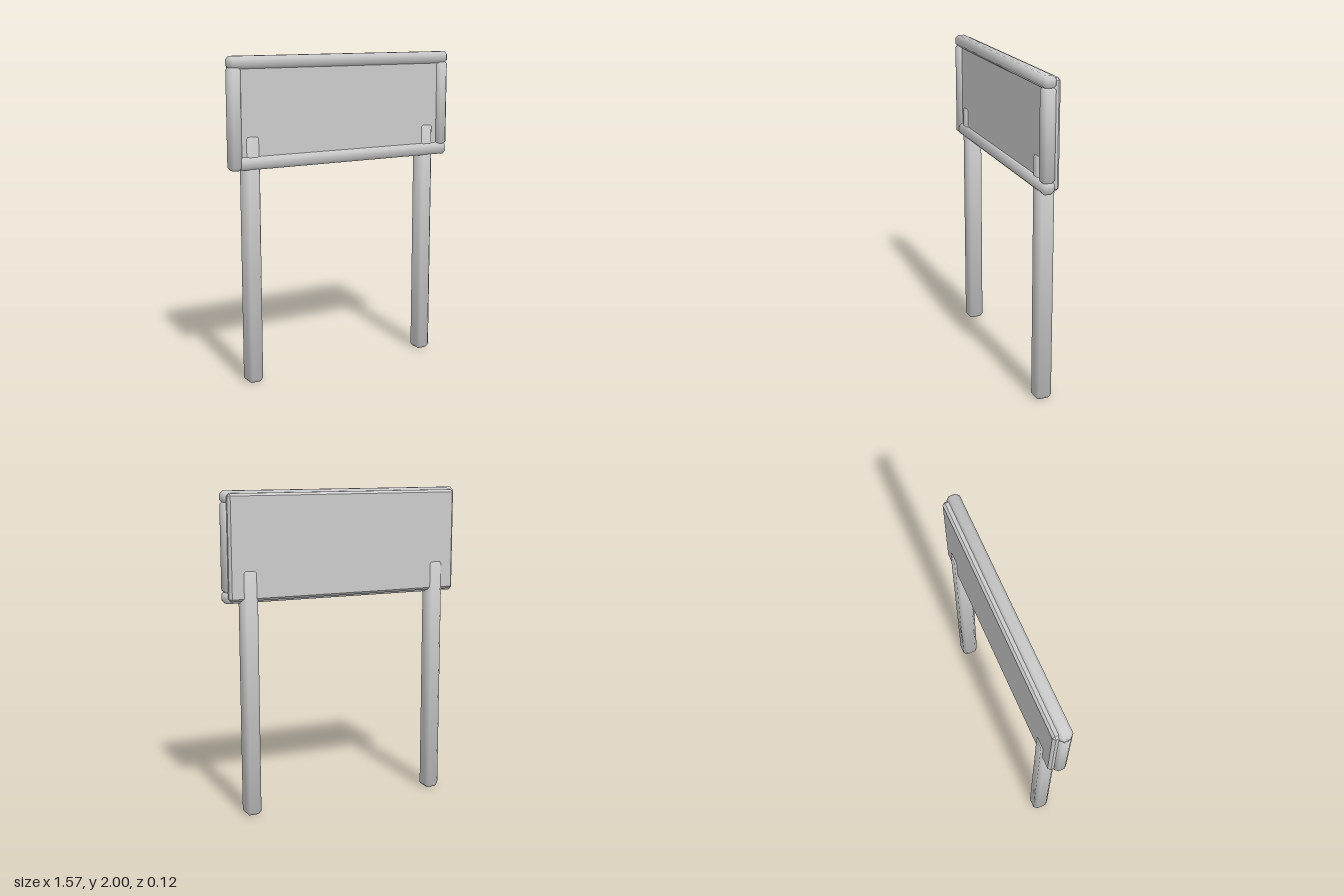
import * as THREE from 'three';
import { ConvexGeometry } from 'three/addons/geometries/ConvexGeometry.js';

// Box spanning [min, max] with chamfered edges; soft normals make it read as rounded
function chamferedBox(min, max, chamfer, soft) {
  const half = min.map((v, i) => (max[i] - v) / 2);
  const points = [];
  for (let axis = 0; axis < 3; axis++)
    for (const sx of [-1, 1]) for (const sy of [-1, 1]) for (const sz of [-1, 1]) {
      const p = [sx, sy, sz].map((s, i) => s * (half[i] - (i === axis ? 0 : chamfer)));
      points.push(new THREE.Vector3(...p));
    }
  const geometry = new ConvexGeometry(points);
  if (soft) {
    // Each corner leans outward from the face it belongs to
    const pos = geometry.attributes.position;
    const normal = geometry.attributes.normal;
    for (let i = 0; i < pos.count; i++) {
      const p = [pos.getX(i), pos.getY(i), pos.getZ(i)];
      const n = p.map((v, k) => Math.sign(v) * (Math.abs(v) > half[k] - chamfer / 2 ? 1 : 0.4));
      const v = new THREE.Vector3(...n).normalize();
      normal.setXYZ(i, v.x, v.y, v.z);
    }
  }
  geometry.translate(...min.map((v, i) => v + half[i]));
  return geometry;
}

export function createModel() {
  const group = new THREE.Group();
  const lightGrey = new THREE.MeshStandardMaterial({ color: 0xcccccc });
  lightGrey.name = 'lightGrey';

  const add = (name, min, max, chamfer, soft = true) => {
    const mesh = new THREE.Mesh(chamferedBox(min, max, chamfer, soft), lightGrey);
    mesh.name = name;
    group.add(mesh);
  };

  // Two posts, showing slightly through both faces of the panel
  for (const [name, x] of [['leftPost', 0.635], ['rightPost', -0.635]])
    add(name, [x - 0.05, 0, -0.062], [x + 0.05, 1.535, 0.043], 0.02);

  // Flat sign panel
  add('panel', [-0.765, 1.345, -0.052], [0.765, 1.985, 0.033], 0.015, false);

  // Raised frame: rails overlap at the corners
  const back = -0.02, front = 0.06;
  add('topRail', [-0.787, 1.925, back], [0.787, 2, front], 0.02);
  add('bottomRail', [-0.73, 1.33, back], [0.787, 1.407, front], 0.02);
  add('rightRail', [-0.787, 1.33, back], [-0.71, 1.94, front], 0.02);
  add('leftRail', [0.71, 1.39, back], [0.787, 1.94, front], 0.02);

  return group;
}
